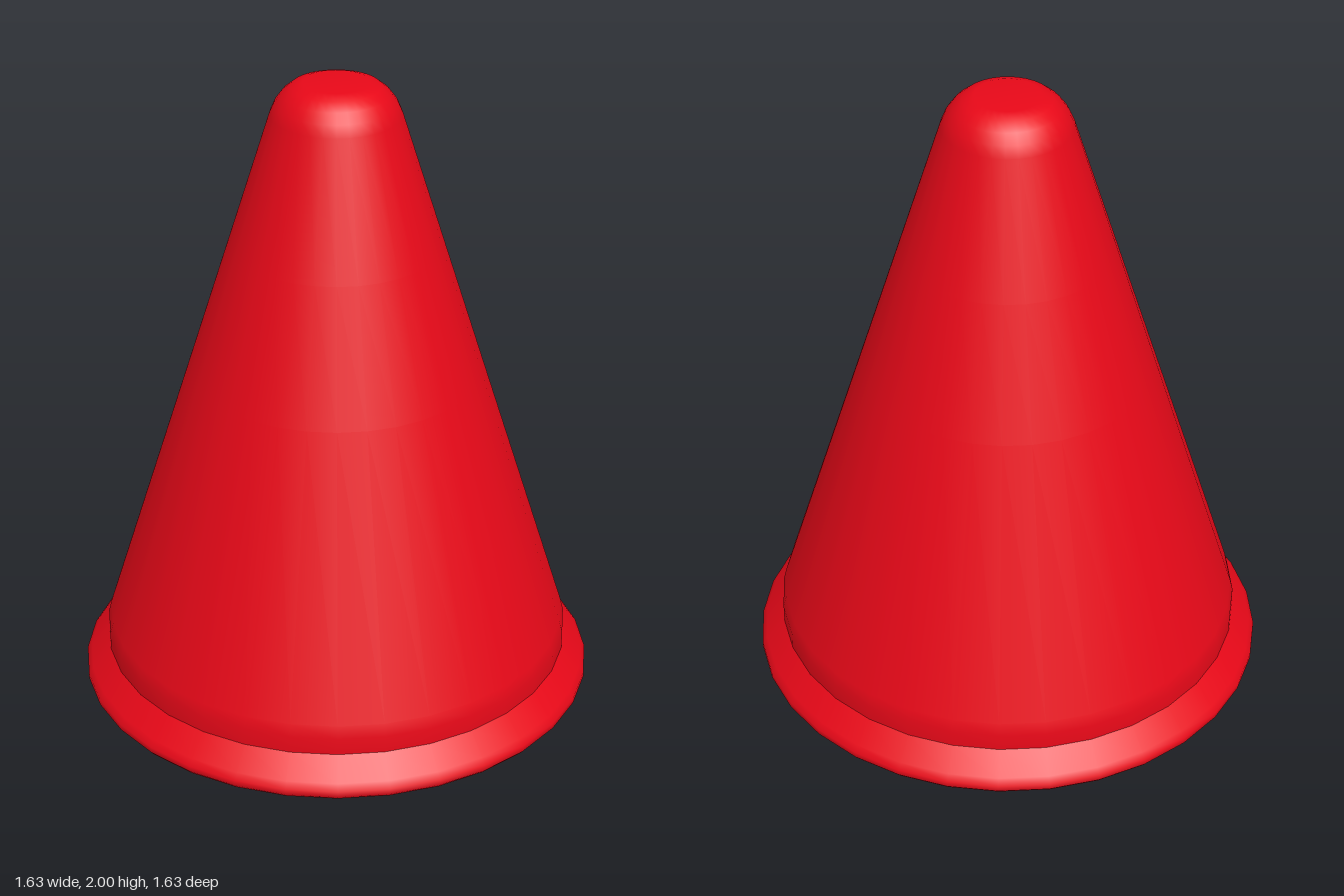
import * as THREE from 'three';

const SIDES = 32;

export function createModel() {
  const group = new THREE.Group();
  const red = new THREE.MeshStandardMaterial({ color: 0xe80818 });

  // Turned part: profile of [radius, height], running from the underside out and up
  const turned = (name, profile) => {
    const points = profile.map(([r, y]) => new THREE.Vector2(r, y));
    const mesh = new THREE.Mesh(new THREE.LatheGeometry(points, SIDES), red);
    mesh.name = name;
    group.add(mesh);
  };

  // Flat underside blending smoothly into the flared foot
  turned('base', [
    [0, 0], [0.52, 0], [0.805, 0], [0.815, 0.012], [0.815, 0.03], [0.8, 0.05], [0.74, 0.115],
  ]);

  // Tapered body with a short upright collar and a rounded flat tip
  turned('coneBody', [
    [0.74, 0.115], [0.74, 0.17], [0.73, 0.21], [0.46, 1.07], [0.33, 1.485],
    [0.2, 1.9], [0.185, 1.935], [0.163, 1.965], [0.135, 1.988], [0.1, 2], [0, 2],
  ]);

  return group;
}
